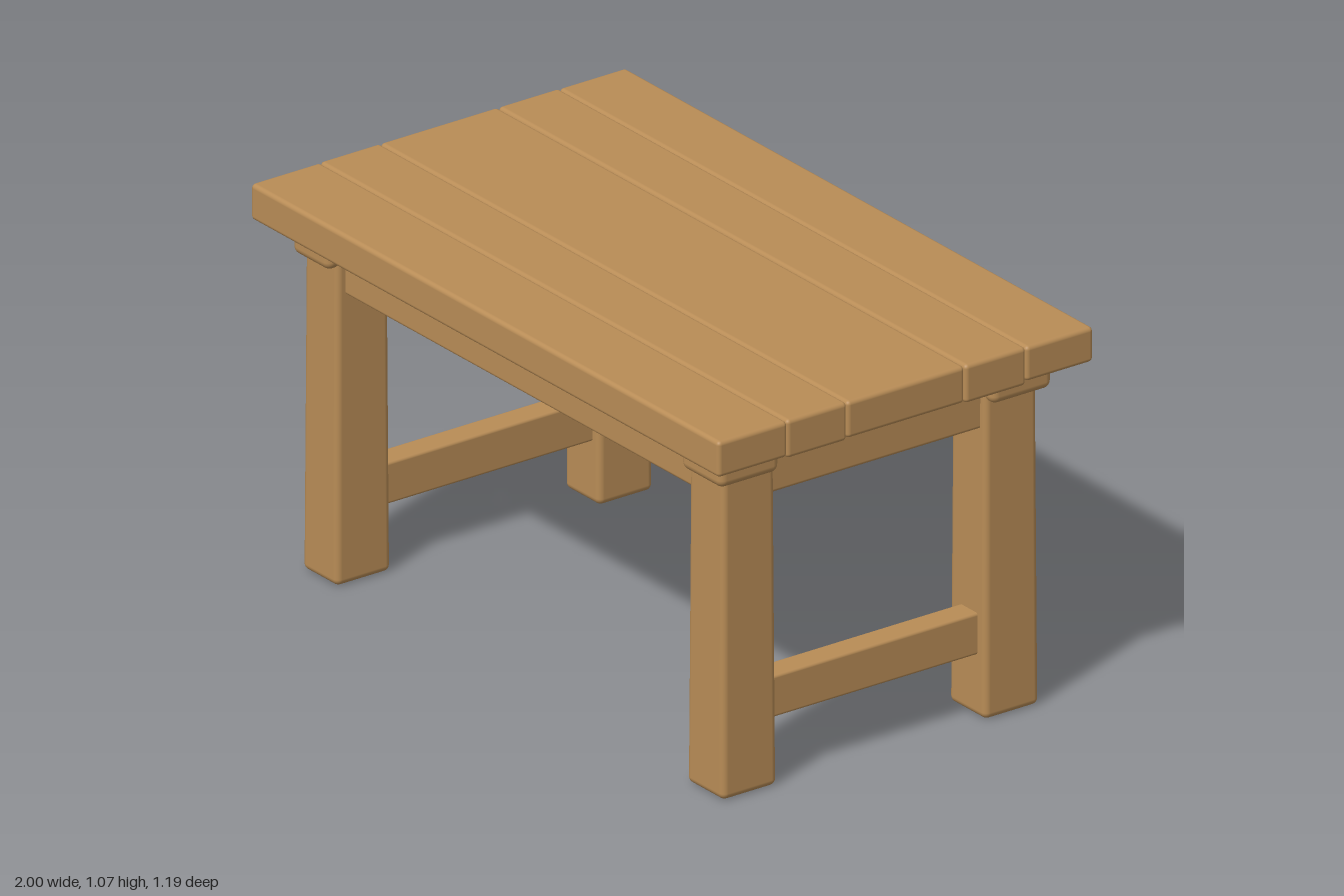
import * as THREE from 'three';
import { RoundedBoxGeometry } from 'three/addons/geometries/RoundedBoxGeometry.js';

const wood = new THREE.MeshStandardMaterial({ color: 0xb88c56 });
wood.name = 'wood';

// Softly rounded block given by its min and max corners
function block(name, [x0, y0, z0], [x1, y1, z1], radius) {
  const geometry = new RoundedBoxGeometry(x1 - x0, y1 - y0, z1 - z0, 3, radius);
  const mesh = new THREE.Mesh(geometry, wood);
  mesh.position.set((x0 + x1) / 2, (y0 + y1) / 2, (z0 + z1) / 2);
  mesh.name = name;
  return mesh;
}

// Narrow a leg slightly from its foot to the top
function taperLeg(mesh, height) {
  const p = mesh.geometry.attributes.position;
  for (let i = 0; i < p.count; i++) {
    const t = p.getY(i) / height + 0.5;
    const k = 1 - 0.06 * t;
    p.setX(i, p.getX(i) * k);
    p.setZ(i, p.getZ(i) * k);
  }
  return mesh;
}

export function createModel() {
  const table = new THREE.Group();
  table.name = 'table';

  // Five top planks: z start, z end, underside, top
  const planks = [
    [-0.597, -0.383, 0.974, 1.072],
    [-0.383, -0.189, 0.965, 1.073],
    [-0.187, 0.187, 0.969, 1.073],
    [0.187, 0.379, 0.965, 1.073],
    [0.377, 0.598, 0.97, 1.071],
  ];
  const top = new THREE.Group();
  top.name = 'tabletop';
  for (const [z0, z1, y0, y1] of planks) {
    top.add(block('plank', [-1, y0, z0], [1, y1, z1], 0.012));
  }
  table.add(top);

  // Legs with a wider outward-facing block at the top
  for (const sx of [-1, 1]) {
    const inner = sx < 0 ? 0.755 : 0.737;
    const outer = sx < 0 ? 0.905 : 0.894;
    const xs = [sx * inner, sx * outer].sort((a, b) => a - b);
    const capXs = [sx * (inner + 0.006), sx * 0.917].sort((a, b) => a - b);
    for (const sz of [-1, 1]) {
      const zs = [sz * 0.33, sz * 0.505].sort((a, b) => a - b);
      const capZs = [sz * 0.338, sz * 0.53].sort((a, b) => a - b);
      const leg = new THREE.Group();
      leg.name = 'leg';
      leg.add(taperLeg(block('legPost', [xs[0], 0, zs[0]], [xs[1], 0.972, zs[1]], 0.018), 0.972));
      leg.add(block('legCap', [capXs[0], 0.888, capZs[0]], [capXs[1], 0.985, capZs[1]], 0.022));
      table.add(leg);
    }
  }

  // Long aprons under the front and back edges
  for (const sz of [-1, 1]) {
    const z = sz * 0.43;
    table.add(block('longApron', [-0.8, 0.812, z - 0.045], [0.8, 0.98, z + 0.045], 0.01));
  }

  // Short aprons and low stretchers at both ends
  for (const sx of [-1, 1]) {
    const x = sx * 0.822;
    table.add(block('endApron', [x - 0.045, 0.808, -0.4], [x + 0.045, 0.98, 0.4], 0.01));
    table.add(block('stretcher', [x - 0.038, 0.173, -0.4], [x + 0.038, 0.29, 0.4], 0.008));
  }
  return table;
}
